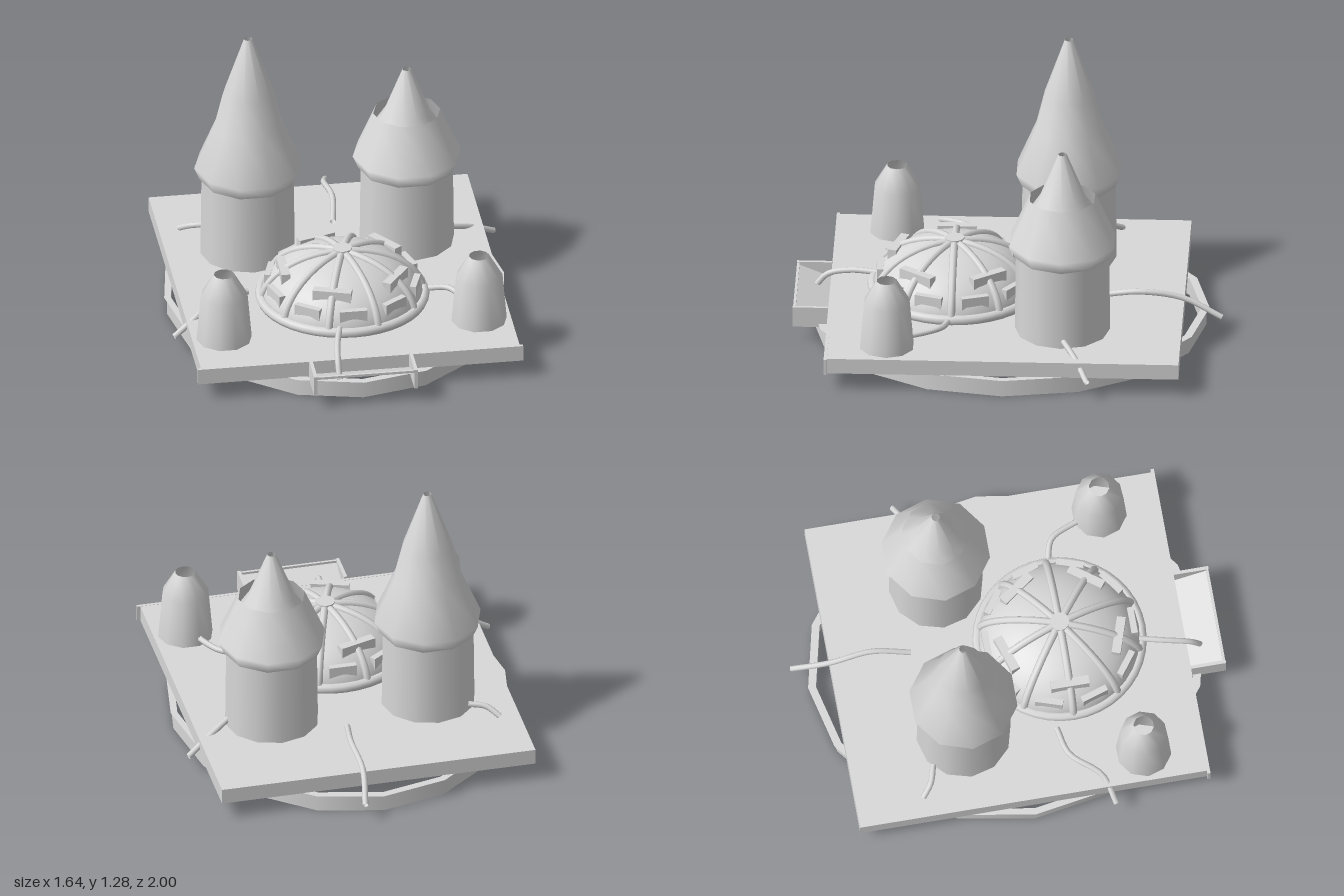
import * as THREE from 'three';

const stone = new THREE.MeshStandardMaterial({ color: 0xd8d8d8 });
stone.name = 'grey';
const stoneOpen = stone.clone();
stoneOpen.side = THREE.DoubleSide;

export function createModel() {
  const model = new THREE.Group();
  model.name = 'domedFortress';

  const add = (name, geometry, x = 0, y = 0, z = 0, parent = model, material = stone) => {
    const mesh = new THREE.Mesh(geometry, material);
    mesh.name = name;
    mesh.position.set(x, y, z);
    parent.add(mesh);
    return mesh;
  };
  const box = (name, w, h, d, x, y, z, parent) =>
    add(name, new THREE.BoxGeometry(w, h, d), x, y, z, parent);
  const lathe = (points, sides) =>
    new THREE.LatheGeometry(points.map(([r, y]) => new THREE.Vector2(r, y)), sides);
  const tube = (points, radius, segments = 14) => new THREE.TubeGeometry(
    new THREE.CatmullRomCurve3(points.map(p => new THREE.Vector3(...p))), segments, radius, 8);

  // Oval footing: a hollow ring, open above and below
  const addFooting = (name, points) =>
    add(name, lathe(points, 16), 0, 0, 0, model, stoneOpen).scale.set(0.8, 1, 0.935);
  addFooting('footingWall', [[0.984, 0], [0.984, 0.08]]);
  addFooting('footingLedge', [[0.984, 0.08], [1, 0.086]]);
  addFooting('footingRim', [[1, 0.086], [0.96, 0.086]]);
  addFooting('footingInnerWall', [[0.96, 0.086], [0.96, 0]]);
  addFooting('footingUnderside', [[0.96, 0], [0.984, 0]]);

  // Square platform with a slightly wider front strip
  box('platform', 1.5, 0.075, 1.64, 0, 0.1225, 0);
  box('platformFront', 1.53, 0.077, 0.015, 0, 0.1225, 0.825);

  // Front landing: sloping floor, side plates and lip
  const floor = box('landingFloor', 0.47, 0.006, 0.172, 0, 0.122, 0.91);
  floor.rotation.x = -0.38;
  for (const s of [-1, 1]) box('landingSide', 0.016, 0.1, 0.165, s * 0.236, 0.12, 0.915);
  box('landingLip', 0.47, 0.012, 0.012, 0, 0.16, 0.99);

  // Towers and corner turrets, all open at the top
  const tower = (name, x, z, points, sides = 10) => {
    const mesh = add(name, lathe(points, sides), x, 0, z, model, stoneOpen);
    mesh.rotation.y = Math.PI / 2;
  };
  const body = [[0.222, 0.16], [0.217, 0.565]];
  const flare = [[0.228, 0.553], [0.254, 0.614]];
  tower('tallTowerBody', -0.368, -0.265, body, 12);
  tower('tallTowerRoof', -0.365, -0.265,
    [...flare, [0.16, 0.837], [0.12, 1.0], [0.02, 1.285]]);
  tower('shortTowerBody', 0.381, -0.265, body, 12);
  tower('shortTowerRoof', 0.381, -0.265, [...flare, [0.11, 0.837], [0.02, 1.062]]);
  // Open shoulder wall around the foot of the spire
  tower('shortTowerShoulder', 0.381, -0.265, [[0.255, 0.614], [0.158, 0.837]]);
  for (const s of [-1, 1]) {
    tower('turret', s * 0.6, 0.545, [[0.13, 0.16], [0.11, 0.39], [0.048, 0.498]]);
  }

  // Dome with base ring, ribs, hub and raised panels
  const dome = new THREE.Group();
  dome.name = 'dome';
  dome.position.set(0, 0.165, 0.253);
  model.add(dome);
  const R = 0.38, H = 0.245;
  const arc = (n, from, to) => Array.from({ length: n + 1 }, (_, i) => {
    const t = from + (to - from) * i / n;
    return [R * Math.cos(t), H * Math.sin(t)];
  });
  const shell = arc(10, 0, Math.PI / 2);
  shell[10][0] = 0;
  add('domeShell', lathe(shell, 32), 0, 0, 0, dome);
  add('domeBaseRing', new THREE.TorusGeometry(0.382, 0.024, 8, 40), 0, 0.022, 0, dome)
    .rotation.x = Math.PI / 2;
  add('domeHub', new THREE.CylinderGeometry(0.045, 0.045, 0.02, 16), 0, 0.255, 0, dome);
  for (let i = 0; i < 10; i++) {
    const spoke = new THREE.Group();
    spoke.name = 'domeSpoke';
    spoke.rotation.y = i * Math.PI / 5;
    dome.add(spoke);
    add('domeRib', tube(arc(10, 0.1, 1.48).map(([r, y]) => [r, y, 0]), 0.018),
      0, 0, 0, spoke, stoneOpen);
    if (i % 2) box('upperPanel', 0.042, 0.065, 0.18, 0.278, 0.158, 0, spoke);
    const bay = new THREE.Group();
    bay.name = 'domeBay';
    bay.rotation.y = (i + 0.5) * Math.PI / 5;
    dome.add(bay);
    box('lowerPanel', 0.03, 0.07, 0.13, 0.344, 0.086, 0, bay);
  }

  // Loose pipes trailing across the platform
  const pipes = {
    backPipe: [[0.06, 0.175, -0.44], [0.085, 0.205, -0.62], [0.075, 0.17, -0.82], [0.106, 0.09, -0.997]],
    leftBackPipe: [[0.58, 0.2, -0.27], [0.7, 0.15, -0.34], [0.81, 0.09, -0.395]],
    rightBackPipe: [[-0.52, 0.21, -0.435], [-0.6, 0.2, -0.46], [-0.655, 0.165, -0.505]],
    rightPipe: [[-0.43, 0.18, 0.165], [-0.57, 0.195, 0.2], [-0.69, 0.17, 0.335], [-0.81, 0.09, 0.38]],
    turretPipe: [[0.385, 0.185, 0.265], [0.49, 0.2, 0.3], [0.545, 0.195, 0.4], [0.59, 0.19, 0.54]],
    frontPipe: [[-0.065, 0.205, 0.61], [-0.095, 0.2, 0.74], [-0.11, 0.17, 0.85], [-0.11, 0.1, 0.91]],
  };
  for (const [name, path] of Object.entries(pipes)) {
    add(name, tube(path, 0.014), 0, 0, 0, model, stoneOpen);
  }

  return model;
}
